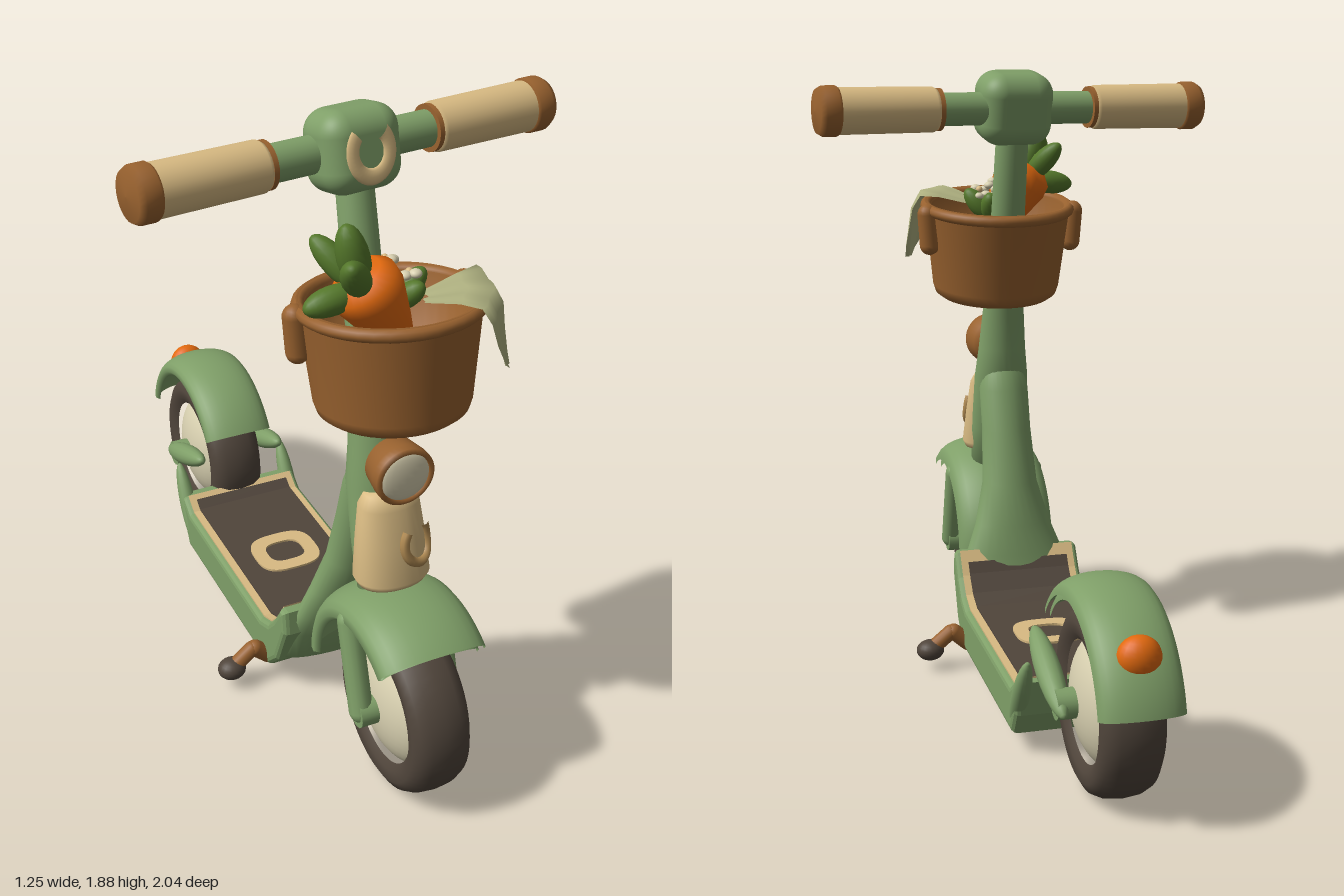
import * as THREE from 'three';
import { RoundedBoxGeometry } from 'three/addons/geometries/RoundedBoxGeometry.js';

const V = (x, y, z) => new THREE.Vector3(x, y, z);
const material = (name, color) => Object.assign(new THREE.MeshStandardMaterial({ color }), { name });

export function createModel() {
  const green = material('sage green', 0x7f9f68), tan = material('tan', 0xd9bb83);
  const brown = material('leather brown', 0x99622f), dark = material('dark rubber', 0x50453b);
  const cream = material('cream', 0xd8d0b0), orange = material('orange', 0xe2690e);
  const leaf = material('leaf green', 0x55782b), cloth = material('pale cloth', 0xaeb080);
  const lightBrown = material('light brown', 0xb08a52);
  const greenShell = material('sage green shell', 0x7f9f68);
  for (const m of [cloth, greenShell]) m.side = THREE.DoubleSide;

  const model = new THREE.Group();
  model.name = 'kickScooter';
  const add = (name, geo, mat, pos = [0, 0, 0], parent = model) => {
    const mesh = new THREE.Mesh(geo, mat);
    mesh.name = name;
    mesh.position.set(...pos);
    parent.add(mesh);
    return mesh;
  };
  // Stretch a y-aligned geometry's mesh between two points
  const aim = (mesh, a, b) => {
    mesh.position.copy(a).add(b).multiplyScalar(0.5);
    mesh.quaternion.setFromUnitVectors(V(0, 1, 0), b.clone().sub(a).normalize());
    return mesh;
  };
  const spindle = (name, mat, a, b, r, parent = model) => aim(
    add(name, new THREE.SphereGeometry(1, 16, 12).scale(r, a.distanceTo(b) / 2, r), mat, [0, 0, 0], parent), a, b);
  const capsule = (name, mat, a, b, r, parent = model) => aim(
    add(name, new THREE.CapsuleGeometry(r, a.distanceTo(b), 6, 14), mat, [0, 0, 0], parent), a, b);
  const ball = (name, mat, pos, sx, sy = sx, sz = sx) =>
    add(name, new THREE.SphereGeometry(1, 20, 14).scale(sx, sy, sz), mat, pos);
  const lathe = (pts, seg = 40, start = 0, len = Math.PI * 2) =>
    new THREE.LatheGeometry(pts.map(p => new THREE.Vector2(...p)), seg, start, len);

  // Stacked horizontal rings [y, z, halfWidth, halfDepth], squareness n
  function loft(rings, n = 2, seg = 28) {
    const closed = [[rings[0][0], rings[0][1], 0.001, 0.001], ...rings,
      [rings.at(-1)[0], rings.at(-1)[1], 0.001, 0.001]];
    const pos = [], idx = [];
    const bulge = v => Math.sign(v) * Math.abs(v) ** (2 / n);
    closed.forEach(([y, z, rx, rz], i) => {
      for (let j = 0; j < seg; j++) {
        const t = j / seg * Math.PI * 2;
        pos.push(rx * bulge(Math.sin(t)), y, z + rz * bulge(Math.cos(t)));
        if (i === closed.length - 1) continue;
        const a = i * seg + j, b = i * seg + (j + 1) % seg;
        idx.push(a, b, a + seg, b, b + seg, a + seg);
      }
    });
    const g = new THREE.BufferGeometry();
    g.setAttribute('position', new THREE.Float32BufferAttribute(pos, 3));
    g.setIndex(idx);
    g.computeVertexNormals();
    return g;
  }
  // Side profile [z, y] extruded across x
  function sideExtrude(profile, width, bevel) {
    const shape = new THREE.Shape(profile.map(p => new THREE.Vector2(...p)));
    const depth = width - 2 * bevel;
    return new THREE.ExtrudeGeometry(shape, { depth, bevelEnabled: bevel > 0, bevelSize: bevel,
      bevelThickness: bevel, bevelOffset: -bevel, bevelSegments: 3 }).translate(0, 0, -depth / 2).rotateY(-Math.PI / 2);
  }

  // Wheels
  for (const [name, z] of [['front', 0.74], ['rear', -0.71]]) {
    const tire = [[0.165, -0.07], [0.185, -0.084], [0.215, -0.088], [0.24, -0.074], [0.254, -0.045], [0.259, 0]];
    const full = [...tire, ...tire.slice(0, -1).reverse().map(([r, a]) => [r, -a])];
    add(name + 'Tire', lathe(full, 48).rotateZ(Math.PI / 2), dark, [0, 0.26, z]);
    add(name + 'WheelDisc', new THREE.SphereGeometry(1, 40, 20).scale(0.1, 0.185, 0.185), cream, [0, 0.26, z]);
    add(name + 'Hub', new THREE.CylinderGeometry(0.042, 0.042, 0.3, 20).rotateZ(Math.PI / 2), green, [0, 0.26, z]);
  }

  // Fenders: curved shells swept around the wheel axis
  function fender(name, y, z, crown, edge, half, from, to) {
    const pts = [];
    for (let i = 0; i <= 14; i++) {
      const t = (i / 7 - 1) * Math.PI / 2;
      pts.push([edge + (crown - edge) * Math.cos(t) ** 0.8, half * Math.sin(t)]);
    }
    for (let i = 14; i >= 0; i--) pts.push([pts[i][0] - 0.014, pts[i][1] * 0.9]);
    const d = Math.PI / 180;
    add(name, lathe(pts, 32, from * d, (to - from) * d).rotateZ(Math.PI / 2), greenShell, [0, y, z]);
  }
  fender('frontFender', 0.285, 0.735, 0.335, 0.255, 0.16, 55, 180);
  fender('rearFender', 0.26, -0.71, 0.34, 0.285, 0.115, 36, 166);
  ball('tailLight', orange, [0, 0.475, -0.955], 0.06, 0.058, 0.045);

  // Deck, trim and mat
  const top = [[0.33, 0.345], [0.285, 0.275], [0.24, 0.225], [0.18, 0.2], [-0.42, 0.2], [-0.47, 0.235]];
  add('deck', sideExtrude([[0.24, 0.06], [0.31, 0.13], [0.37, 0.27], [0.36, 0.345], ...top,
    [-0.5, 0.235], [-0.48, 0.13], [-0.44, 0.06]], 0.41, 0.02), green);
  const ribbon = (pts, lift) => [...pts.map(([z, y]) => [z, y + lift]), ...pts.map(([z, y]) => [z, y - 0.01]).reverse()];
  add('deckTrim', sideExtrude(ribbon(top, 0.005), 0.375, 0), tan);
  const matLine = [[0.305, 0.308], ...top.slice(1, 5), [-0.45, 0.221]];
  add('deckMat', sideExtrude(ribbon(matLine, 0.01), 0.33, 0), dark);

  // Rounded ring on the mat
  const oval = (Path, rx, ry) => new Path(Array.from({ length: 36 }, (_, i) => {
    const c = Math.cos(i / 18 * Math.PI), s = Math.sin(i / 18 * Math.PI);
    return new THREE.Vector2(rx * Math.sign(c) * Math.abs(c) ** 0.65, ry * Math.sign(s) * Math.abs(s) ** 0.65);
  }));
  const ringShape = oval(THREE.Shape, 0.105, 0.095);
  ringShape.holes.push(oval(THREE.Path, 0.06, 0.05));
  add('matRing', new THREE.ExtrudeGeometry(ringShape, { depth: 0.009, bevelEnabled: false }).rotateX(-Math.PI / 2),
    tan, [0, 0.208, -0.085]);

  // Frame: down tube and steering column
  add('downTube', loft([[0.14, 0.3, 0.185, 0.05], [0.25, 0.335, 0.18, 0.055], [0.33, 0.36, 0.16, 0.06],
    [0.42, 0.38, 0.125, 0.065], [0.55, 0.42, 0.09, 0.075], [0.72, 0.465, 0.08, 0.075], [0.85, 0.5, 0.08, 0.07],
    [0.95, 0.52, 0.06, 0.05]]), green);
  add('steeringColumn', loft([[0.56, 0.62, 0.085, 0.07], [0.7, 0.58, 0.09, 0.07], [0.88, 0.535, 0.088, 0.078],
    [0.98, 0.52, 0.077, 0.07], [1.12, 0.495, 0.066, 0.062], [1.4, 0.43, 0.054, 0.054], [1.74, 0.345, 0.05, 0.05]]), green);

  // Front panel with a raised horseshoe that follows its curve
  add('frontPanel', loft([[0.62, 0.635, 0.1, 0.07], [0.64, 0.635, 0.11, 0.08], [0.75, 0.62, 0.1, 0.07],
    [0.85, 0.605, 0.088, 0.058], [0.885, 0.6, 0.07, 0.045]], 2.2), tan);
  const shoe = [];
  for (let i = 0; i <= 16; i++) {
    const a = (-220 + i / 16 * 260) * Math.PI / 180;
    const y = 0.75 + 0.06 * Math.sin(a), t = 0.62 + 0.55 * Math.cos(a), k = (0.75 - y) * 0.1;
    shoe.push(V((0.101 + k) * Math.sin(t), y, 0.621 + k + (0.073 + k) * Math.cos(t)));
  }
  add('panelHorseshoe', new THREE.TubeGeometry(new THREE.CatmullRomCurve3(shoe), 40, 0.014, 8), lightBrown);

  // Headlight
  add('headlightCup', lathe([[0.001, -0.06], [0.05, -0.055], [0.076, -0.03], [0.085, 0.03], [0.085, 0.055],
    [0.072, 0.062], [0.07, 0.05]]).rotateX(Math.PI / 2), brown, [0, 0.98, 0.64]);
  ball('headlightLens', cream, [0, 0.98, 0.69], 0.072, 0.072, 0.016);

  // Mirrored parts: fork, rear arms, deck tips, kickstands
  for (const s of [1, -1]) {
    const side = s > 0 ? 'left' : 'right';
    capsule(side + 'Fork', green, V(s * 0.135, 0.52, 0.655), V(s * 0.135, 0.265, 0.74), 0.034);
    spindle(side + 'RearArm', green, V(s * 0.14, 0.38, -0.45), V(s * 0.14, 0.245, -0.77), 0.036);
    spindle(side + 'DeckTip', green, V(s * 0.185, 0.06, -0.4), V(s * 0.185, 0.32, -0.56), 0.027);
    capsule(side + 'StandMount', brown, V(s * 0.19, 0.08, 0.215), V(s * 0.235, 0.12, 0.215), 0.026);
    capsule(side + 'StandLeg', brown, V(s * 0.245, 0.12, 0.215), V(s * 0.3, 0.075, 0.215), 0.024);
    ball(side + 'StandFoot', dark, [s * 0.312, 0.066, 0.215], 0.044, 0.033, 0.04);
    capsule(side + 'BasketStrap', brown, V(s * 0.235, 1.325, 0.53), V(s * 0.242, 1.425, 0.525), 0.032);
  }

  // Handlebar, turned slightly
  const bar = new THREE.Group();
  bar.name = 'handlebar';
  bar.position.set(0, 1.765, 0.325);
  bar.rotation.y = 0.12;
  model.add(bar);
  add('crossbar', new THREE.CylinderGeometry(0.05, 0.05, 0.6, 24).rotateZ(Math.PI / 2), green, [0, 0, 0], bar);
  const head = add('headBlock', new RoundedBoxGeometry(0.23, 0.22, 0.18, 5, 0.065), green, [0, 0.002, 0.015], bar);
  head.rotation.x = -0.2;
  add('headHorseshoe', new THREE.TorusGeometry(0.055, 0.019, 8, 28, Math.PI * 1.5).rotateZ(-Math.PI * 1.25)
    .scale(1, 1.15, 0.45), tan, [0, 0, 0.09], head);
  const grip = [[0.001, -0.165], [0.06, -0.165], [0.068, -0.15], [0.07, 0.15], [0.064, 0.165], [0.001, 0.165]];
  const cap = [[0.001, -0.035], [0.068, -0.035], [0.075, -0.025], [0.075, 0.015], [0.065, 0.032], [0.001, 0.037]];
  for (const s of [1, -1]) {
    const turn = g => g.rotateZ(-s * Math.PI / 2);
    add('grip', turn(lathe(grip, 28)), tan, [s * 0.415, 0, 0], bar);
    add('gripCap', turn(lathe(cap, 28)), brown, [s * 0.59, 0, 0], bar);
    add('gripCollar', turn(new THREE.CylinderGeometry(0.064, 0.064, 0.014, 28)), brown, [s * 0.248, 0, 0], bar);
  }

  // Basket with thick wall and rolled rim
  const basket = new THREE.Group();
  basket.name = 'basket';
  basket.position.set(0, 1.145, 0.61);
  basket.rotation.x = -0.12;
  model.add(basket);
  add('basketBody', lathe([[0.001, 0], [0.18, 0], [0.2, 0.015], [0.208, 0.04], [0.236, 0.29], [0.246, 0.305],
    [0.235, 0.318], [0.214, 0.3], [0.19, 0.12], [0.001, 0.12]], 40), brown, [0, 0, 0], basket);
  add('basketRim', new THREE.TorusGeometry(0.234, 0.018, 10, 40).rotateX(Math.PI / 2), brown, [0, 0.298, 0], basket);

  // Carrot with leafy top
  const carrot = add('carrot', lathe([[0.001, -0.17], [0.03, -0.15], [0.065, -0.04], [0.092, 0.06], [0.09, 0.1],
    [0.06, 0.13], [0.001, 0.14]], 24), orange);
  aim(carrot, V(0.02, 1.32, 0.63), V(-0.13, 1.585, 0.625));
  for (const [x, y, z, r] of [[-0.155, 1.7, 0.625, 0.042], [-0.2, 1.65, 0.75, 0.038], [-0.2, 1.64, 0.53, 0.036],
    [-0.27, 1.5, 0.64, 0.038]]) spindle('carrotLeaf', leaf, V(-0.11, 1.52, 0.63), V(x, y, z), r);

  // Flowers and foliage
  for (const [x, y, z] of [[0.02, 1.515, 0.5], [0.065, 1.49, 0.55], [0.0, 1.47, 0.55]]) {
    for (let i = 0; i < 5; i++) {
      const a = i / 5 * Math.PI * 2;
      ball('petal', cream, [x + 0.023 * Math.cos(a), y + 0.012 * Math.sin(a), z + 0.023 * Math.sin(a)], 0.017, 0.012, 0.017);
    }
    ball('flowerCentre', tan, [x, y + 0.008, z], 0.011);
  }
  for (const [x, y, z] of [[0.11, 1.48, 0.55], [0.05, 1.47, 0.46], [-0.04, 1.46, 0.5], [0.08, 1.46, 0.6]])
    spindle('foliage', leaf, V(0.03, 1.4, 0.53), V(x, y + 0.02, z), 0.032);

  // Cloth draped over the rim, narrowing to a rounded tip
  const drape = new THREE.PlaneGeometry(1, 1, 12, 6), p = drape.attributes.position;
  const rows = [[0.09, 1.45, 0.5], [0.19, 1.475, 0.52], [0.255, 1.482, 0.55], [0.278, 1.44, 0.5],
    [0.286, 1.37, 0.4], [0.297, 1.3, 0.24], [0.305, 1.262, 0.08]];
  for (let i = 0; i < p.count; i++) {
    const [r, y, spread] = rows[Math.floor(i / 13)];
    const u = (i % 13) / 6 - 1, a = 1.1 + u * spread, fold = 0.006 * Math.cos(u * 7);
    p.setXYZ(i, (r + fold) * Math.sin(a), y + 0.012 * Math.cos(a), 0.575 + (r + fold) * Math.cos(a));
  }
  drape.computeVertexNormals();
  add('cloth', drape, cloth);

  return model;
}
